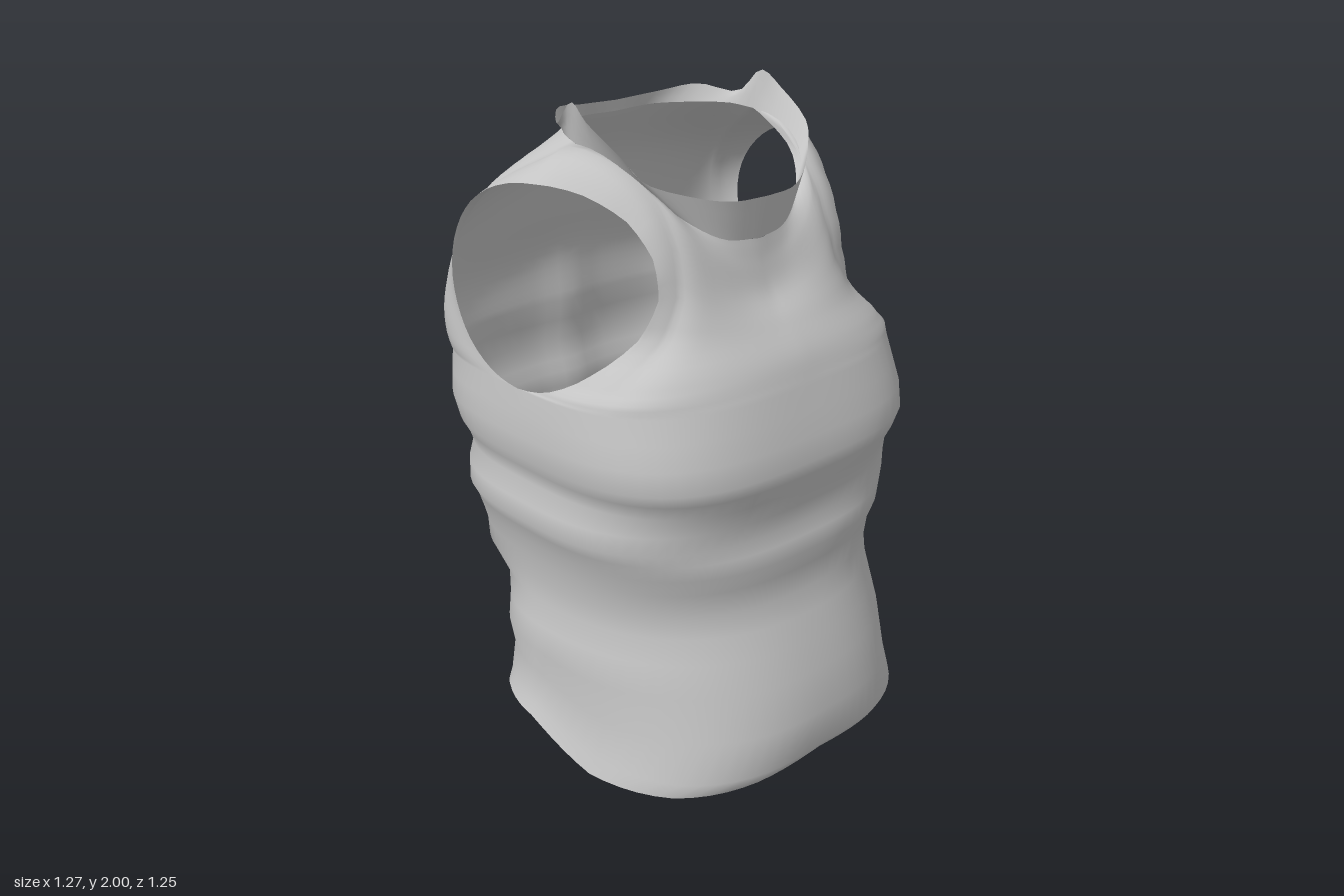
import * as THREE from 'three';
import { mergeGeometries, mergeVertices } from 'three/addons/utils/BufferGeometryUtils.js';

const V = (x, y, z) => new THREE.Vector3(x, y, z);
const SIDE_Z = -0.065; // z of the side seam, under the armhole
const lerp = THREE.MathUtils.lerp;
const curve = (pts) => new THREE.CatmullRomCurve3(pts.map((p) => V(...p)));

// Linear lookup in an evenly spaced list, t in 0..1
function sample(list, t) {
  const f = Math.min(Math.max(t, 0), 1) * (list.length - 1);
  const i = Math.min(Math.floor(f), list.length - 2);
  return lerp(list[i], list[i + 1], f - i);
}

// Grid surface from a point function of (u, v)
function grid(fn, nu, nv, flip = false) {
  const pos = [], idx = [];
  for (let j = 0; j <= nv; j++)
    for (let i = 0; i <= nu; i++) pos.push(...fn(i / nu, j / nv).toArray());
  for (let j = 0; j < nv; j++)
    for (let i = 0; i < nu; i++) {
      const a = j * (nu + 1) + i, b = a + 1, c = a + nu + 1, d = c + 1;
      if (flip) idx.push(a, d, b, a, c, d);
      else idx.push(a, b, d, a, d, c);
    }
  const g = new THREE.BufferGeometry();
  g.setAttribute('position', new THREE.Float32BufferAttribute(pos, 3));
  g.setIndex(idx);
  return g;
}

function weld(parts) {
  const g = mergeVertices(mergeGeometries(parts), 1e-4);
  g.computeVertexNormals();
  return g;
}

// Torso rows: height, half width, front z, back z, front and back squareness
const rows = [
  [0, 0.632, 0.59, -0.5, 2.8, 2.1], [0.05, 0.615, 0.625, -0.5, 2.7, 2.1],
  [0.18, 0.585, 0.625, -0.5, 2.5, 2.2], [0.32, 0.605, 0.595, -0.5, 2.3, 2.2],
  [0.42, 0.585, 0.565, -0.5, 2.3, 2.3], [0.5, 0.57, 0.54, -0.5, 2.3, 2.5],
  [0.57, 0.57, 0.515, -0.615, 2.4, 2.8], [0.65, 0.58, 0.515, -0.58, 2.5, 3],
  [0.71, 0.595, 0.53, -0.578, 2.6, 3.1], [0.76, 0.61, 0.52, -0.585, 2.7, 3.1],
  [0.8, 0.63, 0.505, -0.595, 2.8, 3.1], [0.86, 0.625, 0.51, -0.6, 2.8, 3.1],
  [0.92, 0.602, 0.525, -0.59, 2.9, 3.2], [0.97, 0.615, 0.54, -0.595, 3.1, 3.3],
  [1.01, 0.632, 0.545, -0.61, 3.2, 3.4], [1.08, 0.635, 0.53, -0.625, 3.2, 3.7],
  [1.15, 0.628, 0.508, -0.612, 3.1, 3.9], [1.22, 0.62, 0.487, -0.605, 3, 4],
];

// Hem height from the front centre round to the back centre
const hem = [0.025, 0.01, 0.005, 0.02, 0.11, 0.125, 0.06, 0.07, 0.08];

// Rounded cross-section with a furrow down the spine
function ringPoint([y, w, front, back, nFront, nBack], phi) {
  const s = Math.sin(phi), c = Math.cos(phi), n = c >= 0 ? nFront : nBack;
  const r = 1 / Math.pow(Math.abs(s) ** n + Math.abs(c) ** n, 1 / n);
  const x = w * s * r;
  let z = (c >= 0 ? front - SIDE_Z : SIDE_Z - back) * c * r;
  if (c < 0) z *= 1 - 0.04 * Math.exp(-((x / 0.08) ** 2));
  const turn = Math.acos(Math.min(1, Math.max(-1, c))) / Math.PI;
  const lift = sample(hem, turn) * Math.max(0, 1 - y / 0.4);
  return V(x, y + lift, SIDE_Z + z);
}

// Armhole edge: x from the underarm up to the shoulder, for the front and back halves
const armFrontX = [0.62, 0.607, 0.545, 0.43, 0.375, 0.372, 0.4, 0.46, 0.535];
const armBackX = [0.62, 0.617, 0.61, 0.6, 0.592, 0.585, 0.58, 0.567, 0.535];
function armhole(v, dir) {
  const a = -Math.PI / 2 + v * Math.PI;
  return V(sample(dir > 0 ? armFrontX : armBackX, v), 1.51 + 0.29 * Math.sin(a),
    SIDE_Z + 0.335 * dir * Math.cos(a));
}

// Neckline halves, from the centre to the top of the shoulder
const neckFront = curve([[0, 1.615, 0.285], [0.12, 1.63, 0.265], [0.22, 1.69, 0.215],
  [0.31, 1.79, 0.11], [0.36, 1.88, -0.09]]);
const neckBack = curve([[0, 1.885, -0.345], [0.14, 1.89, -0.335], [0.25, 1.89, -0.275],
  [0.33, 1.89, -0.18], [0.36, 1.88, -0.09]]);

// Quarter yoke: rows run from the centre line to the armhole, and their shape
// changes from the torso outline to the neckline and shoulder
function yoke(dir, neck, centre, mirror) {
  const top = rows[rows.length - 1];
  const bottom = (u) => ringPoint(top, dir > 0 ? (u * Math.PI) / 2 : Math.PI - (u * Math.PI) / 2);
  const start = bottom(0), side = bottom(1), crown = neck.getPoint(0), tip = armhole(1, dir);
  const mid = curve([start.toArray(), ...centre, crown.toArray()]);
  const k = 0.7;
  const upper = (u) => {
    if (u <= k) return neck.getPoint(u / k);
    const t = (u - k) / (1 - k);
    return neck.getPoint(1).lerp(tip, t).add(V(0, 0.025 * Math.sin(Math.PI * t), 0));
  };
  const along = (p, from, to, axis) => (p[axis] - from[axis]) / (to[axis] - from[axis]);
  const blendPower = dir > 0 ? 1.3 : 2.2; // the back keeps its boxy outline higher up
  const point = (u, v) => {
    const p = mid.getPoint(v), edge = armhole(v, dir), lo = bottom(u), hi = upper(u);
    const blend = v ** blendPower;
    for (const axis of ['x', 'y', 'z']) {
      const low = axis === 'y' ? u : along(lo, start, side, axis);
      p[axis] = lerp(p[axis], edge[axis], lerp(low, along(hi, crown, tip, axis), blend));
    }
    p.x *= mirror;
    return p;
  };
  return grid(point, 20, 24, dir * mirror < 0);
}

// Collar upper edge, front centre to back centre
const collarTop = curve([[0, 1.745, 0.315], [0.12, 1.745, 0.295], [0.22, 1.765, 0.245],
  [0.33, 1.81, 0.16], [0.365, 1.87, 0.12], [0.385, 1.955, -0.01], [0.375, 2.0, -0.085],
  [0.36, 1.925, -0.17], [0.28, 1.945, -0.27], [0.16, 1.93, -0.32], [0, 1.92, -0.34]]);
function collarHalf(mirror) {
  const base = (u) => (u < 0.55 ? neckFront.getPoint(u / 0.55) : neckBack.getPoint((1 - u) / 0.45));
  return grid((u, v) => {
    const p = base(u).lerp(collarTop.getPoint(u), v);
    p.x *= mirror;
    return p;
  }, 32, 3, mirror < 0);
}

export function createModel() {
  const cloth = new THREE.MeshStandardMaterial({ color: 0xc4c4c4, side: THREE.DoubleSide });
  cloth.name = 'greyCloth';
  const group = new THREE.Group();
  group.name = 'sleevelessTop';

  // Torso tube with horizontal folds, joined to the four yoke quarters
  const last = rows.length - 1;
  const parts = [grid((u, v) => ringPoint(rows[Math.round(v * last)], u * Math.PI * 2), 80, last)];
  for (const m of [1, -1]) {
    parts.push(yoke(1, neckFront, [[0, 1.31, 0.452], [0, 1.39, 0.39], [0, 1.46, 0.325], [0, 1.54, 0.298]], m));
    parts.push(yoke(-1, neckBack, [[0, 1.4, -0.59], [0, 1.55, -0.538], [0, 1.73, -0.465]], m));
  }
  const body = new THREE.Mesh(weld(parts), cloth);
  body.name = 'shirtBody';

  // Raised collar band
  const collar = new THREE.Mesh(weld([collarHalf(1), collarHalf(-1)]), cloth);
  collar.name = 'collar';

  group.add(body, collar);
  return group;
}
